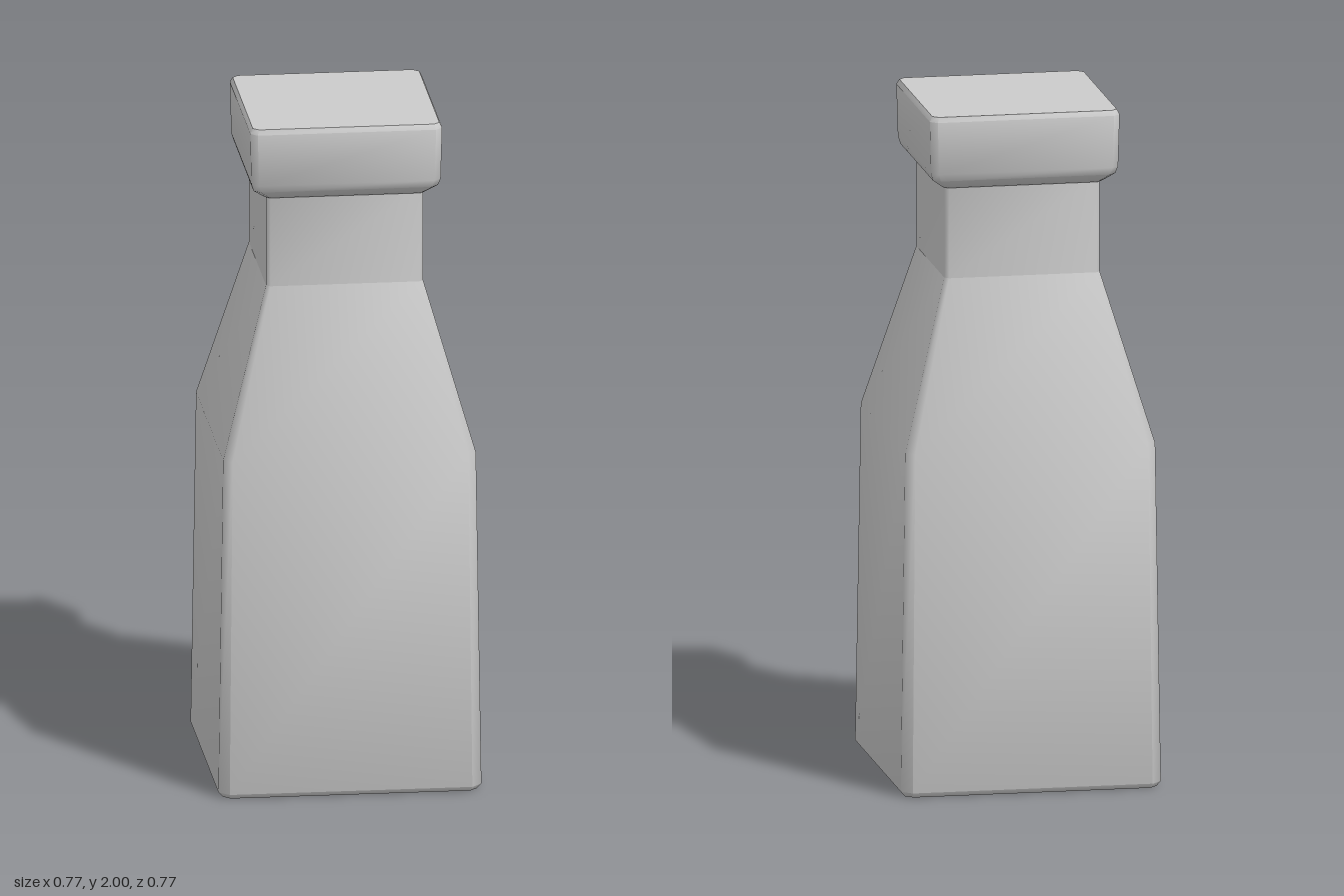
import * as THREE from 'three';
import { toCreasedNormals } from 'three/addons/utils/BufferGeometryUtils.js';

const grey = new THREE.MeshStandardMaterial({ color: 0xcccccc });

// Square ring with cut corners: half width h, corner cut c, height y
function ring([h, c, y]) {
  const k = h - c;
  return [[h, -k], [h, k], [k, h], [-k, h], [-h, k], [-h, -k], [-k, -h], [k, -h]]
    .map(([x, z]) => [x, y, z]);
}

// Skin a stack of rings, bottom to top, with optional end faces
function loft(name, sections, closeBottom, closeTop, crease) {
  const rings = sections.map(ring);
  const positions = [];
  const tri = (...points) => points.forEach((p) => positions.push(...p));
  const last = rings.length - 1;
  for (let j = 0; j < 8; j++) {
    const n = (j + 1) % 8;
    for (let i = 0; i < last; i++) {
      const a = rings[i][j], b = rings[i][n], c = rings[i + 1][n], d = rings[i + 1][j];
      tri(a, d, b);
      tri(b, d, c);
    }
    if (closeBottom) tri([0, sections[0][2], 0], rings[0][j], rings[0][n]);
    if (closeTop) tri([0, sections[last][2], 0], rings[last][n], rings[last][j]);
  }
  const geometry = new THREE.BufferGeometry();
  geometry.setAttribute('position', new THREE.Float32BufferAttribute(positions, 3));
  const mesh = new THREE.Mesh(toCreasedNormals(geometry, crease), grey);
  mesh.name = name;
  return mesh;
}

export function createModel() {
  const group = new THREE.Group();
  group.name = 'squareBottle';

  // Tapered body and sloping shoulder, softened at the corners
  group.add(loft('body', [
    [0.372, 0.022, 0],
    [0.385, 0.03, 0.015],
    [0.37, 0.025, 1.02],
    [0.23, 0.012, 1.51],
  ], true, false, 0.9));

  // Straight neck
  group.add(loft('neck', [
    [0.23, 0.012, 1.51],
    [0.23, 0.012, 1.79],
  ], false, false, 0.9));

  // Cap with a bevelled underside and a fine top edge
  group.add(loft('cap', [
    [0.235, 0.015, 1.78],
    [0.27, 0.02, 1.808],
    [0.277, 0.02, 1.83],
    [0.281, 0.02, 1.985],
    [0.273, 0.017, 2],
  ], true, true, 0.9));

  return group;
}
